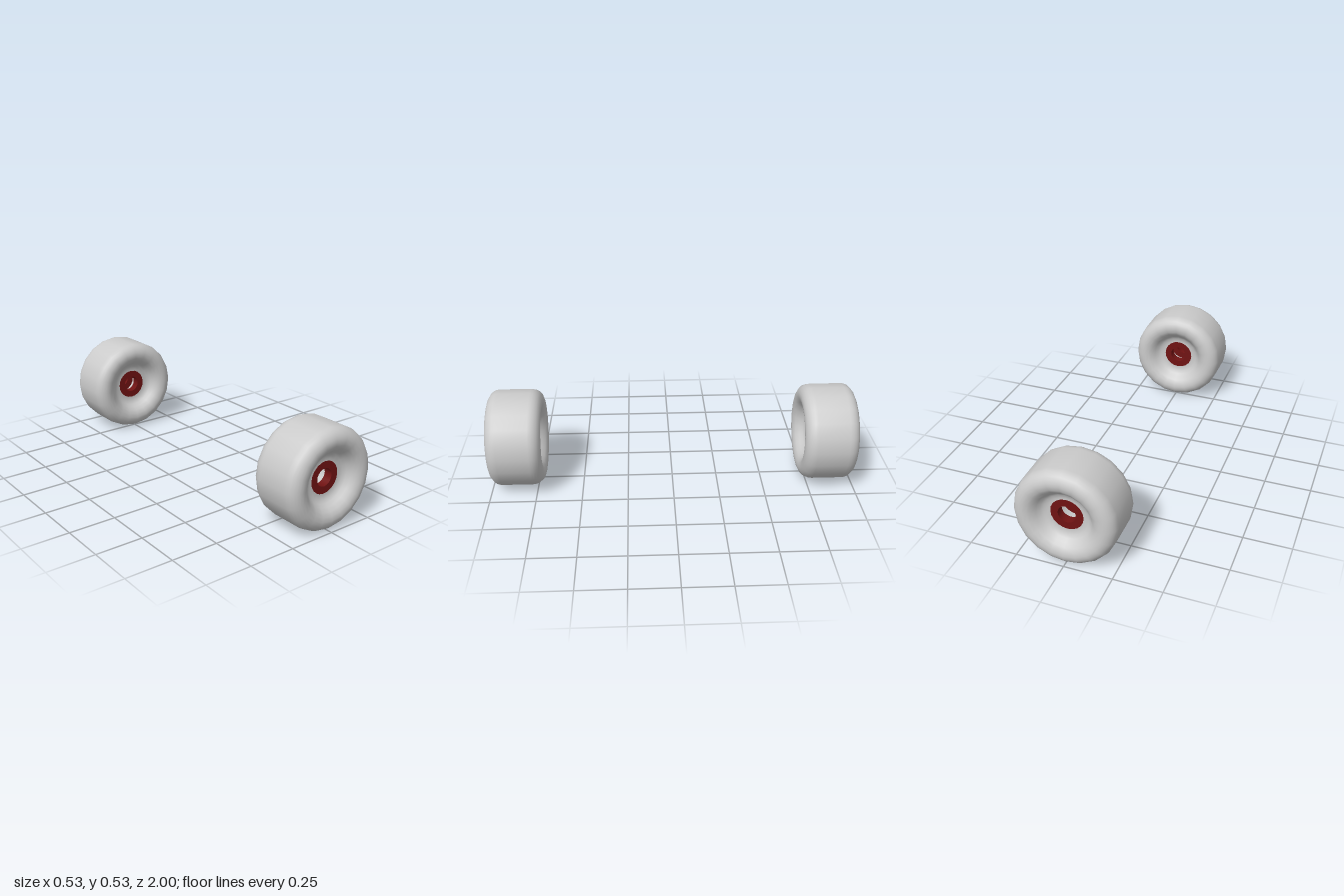
import * as THREE from 'three';
import { toCreasedNormals } from 'three/addons/utils/BufferGeometryUtils.js';

const SIDES = 20;
const RADIUS = 0.265;
const HALF_WIDTH = 0.147;
const HUB_FACE = 0.08; // distance of the bearing seat from the wheel's middle
const BORE = 0.085;

// Closed profile of [radius, offset] pairs turned about the z axis
function turned(profile) {
  const points = profile.map(([r, z]) => new THREE.Vector2(r, z));
  points.push(points[0].clone());
  const geometry = new THREE.LatheGeometry(points, SIDES);
  geometry.rotateX(Math.PI / 2);
  return toCreasedNormals(geometry, 0.7);
}

// Half of the tyre: flat tread, rounded shoulder, dished face, narrow hub lip
function tyreGeometry() {
  const half = [];
  const corner = 0.062;
  for (let i = 0; i <= 6; i++) {
    const a = (i / 6) * Math.PI / 2;
    half.push([
      RADIUS - corner + corner * Math.cos(a),
      HALF_WIDTH - corner + corner * Math.sin(a),
    ]);
  }
  half.push([0.18, 0.143], [0.16, 0.131], [0.144, 0.113], [0.13, 0.096],
    [0.115, 0.085], [0.095, HUB_FACE], [BORE, HUB_FACE]);
  const back = half.map(([r, z]) => [r, -z]).reverse();
  return turned([...back, ...half]);
}

// Flat ring that sits in the hub
function bearingGeometry() {
  const inner = 0.047;
  const depth = 0.045;
  return turned([[BORE, -depth / 2], [BORE, depth / 2], [inner, depth / 2], [inner, -depth / 2]]);
}

export function createModel() {
  const model = new THREE.Group();
  model.name = 'wheelPair';
  const grey = new THREE.MeshStandardMaterial({ color: 0xcccccc });
  const red = new THREE.MeshStandardMaterial({ color: 0x701313 });
  const tyre = tyreGeometry();
  const bearing = bearingGeometry();

  for (const [name, side] of [['frontWheel', 1], ['backWheel', -1]]) {
    const wheel = new THREE.Group();
    wheel.name = name;
    const tyreMesh = new THREE.Mesh(tyre, grey);
    tyreMesh.name = 'tyre';
    wheel.add(tyreMesh);

    // One bearing on each face of the wheel
    for (const face of [1, -1]) {
      const ring = new THREE.Mesh(bearing, red);
      ring.name = face > 0 ? 'frontBearing' : 'backBearing';
      ring.position.z = face * (HUB_FACE - 0.0225);
      wheel.add(ring);
    }
    wheel.position.set(0, RADIUS, side * (1 - HALF_WIDTH));
    model.add(wheel);
  }
  return model;
}
